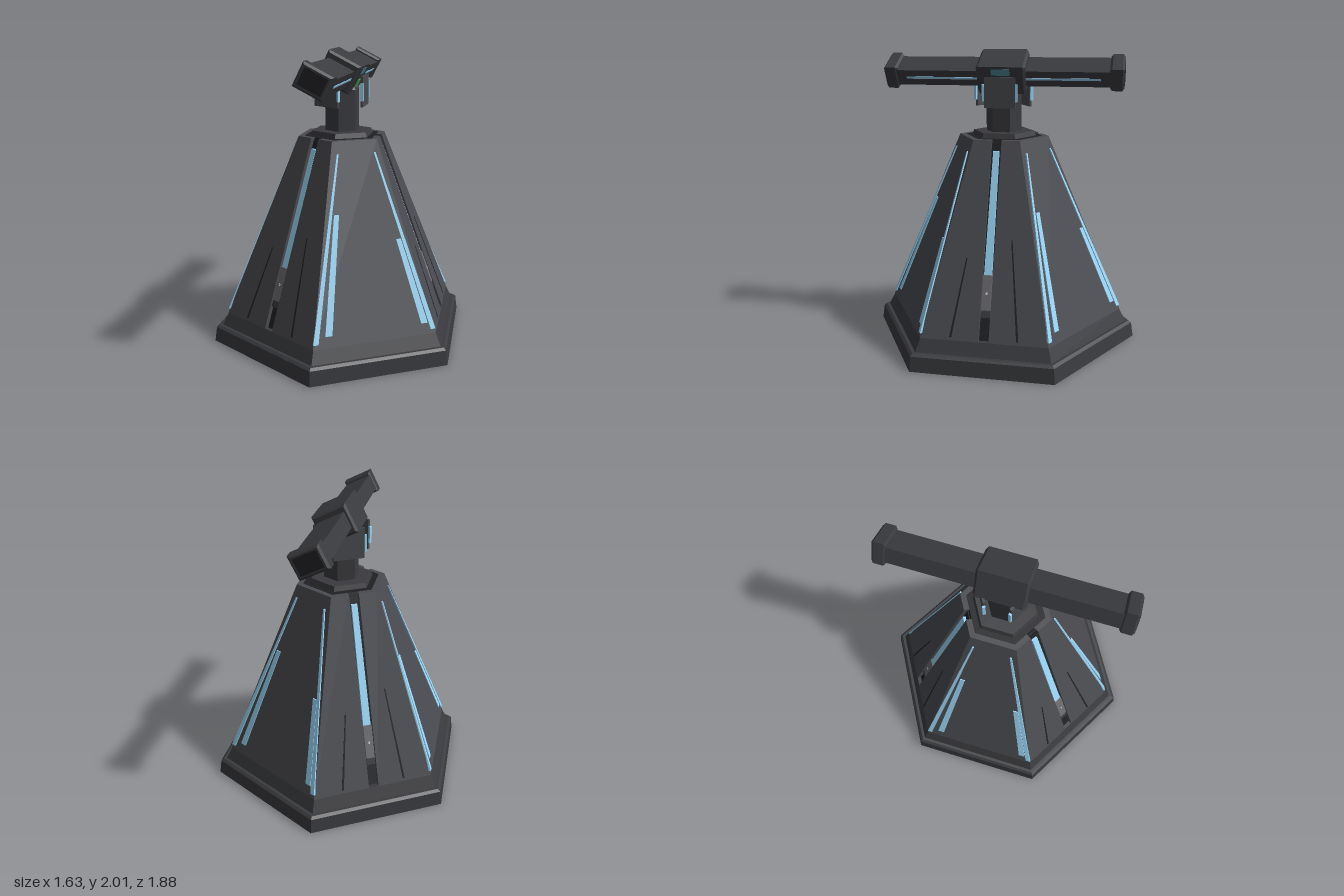
import * as THREE from 'three';

const paint = (color) => new THREE.MeshStandardMaterial({ color, flatShading: true });
const DARK = paint(0x3a3b3f), BODY = paint(0x4a4b50), BLACK = paint(0x202124), GREY = paint(0x6a6b70);
const BLUE = paint(0x9ad6f8), TEAL = paint(0x4f8a9a), GREEN = paint(0x4fae5c), WHITE = paint(0xdddddd);

const LOW = 0.2, HIGH = 1.43;
// distance from the axis to a sloping wall at height y, and half the wall's width there
const wall = (y) => 0.727 - ((y - LOW) * 0.457) / (HIGH - LOW);
const half = (y) => wall(y) / Math.sqrt(3);

function add(parent, name, geometry, material, x = 0, y = 0, z = 0) {
  const mesh = new THREE.Mesh(geometry, material);
  mesh.name = name;
  mesh.position.set(x, y, z);
  parent.add(mesh);
  return mesh;
}

// six-sided drum with corners on the z axis
function hex(parent, name, rBottom, rTop, y0, y1, material) {
  return add(parent, name, new THREE.CylinderGeometry(rTop, rBottom, y1 - y0, 6), material, 0, (y0 + y1) / 2, 0);
}

// flat outline [t, y] laid on the sloping wall facing +x; t runs to the viewer's right
function slab(parent, name, outline, from, to, material) {
  const shape = new THREE.Shape(outline.map(([t, y]) => new THREE.Vector2(t, y)));
  const geometry = new THREE.ExtrudeGeometry(shape, { depth: to - from, bevelEnabled: false });
  const p = geometry.attributes.position;
  for (let i = 0; i < p.count; i++) {
    p.setXYZ(i, wall(p.getY(i)) + from + p.getZ(i), p.getY(i), -p.getX(i));
  }
  geometry.computeVertexNormals();
  return add(parent, name, geometry, material);
}

// tapering strip from (t0, y0) at the bottom to (t1, y1) at the top
function strip(parent, name, t0, y0, w0, t1, y1, w1, from, to, material) {
  const outline = [[t0 - w0 / 2, y0], [t0 + w0 / 2, y0], [t1 + w1 / 2, y1], [t1 - w1 / 2, y1]];
  return slab(parent, name, outline, from, to, material);
}

// box with chamfered edges, long axis on z
function chamferBox(parent, name, w, h, d, c, material, z = 0) {
  const x = w / 2 - c, y = h / 2 - c;
  const shape = new THREE.Shape([[-x, -y], [x, -y], [x, y], [-x, y]].map((q) => new THREE.Vector2(...q)));
  const geometry = new THREE.ExtrudeGeometry(shape, {
    depth: d - 2 * c, bevelEnabled: true, bevelSize: c, bevelThickness: c, bevelSegments: 1,
  });
  geometry.translate(0, 0, c - d / 2);
  return add(parent, name, geometry, material, 0, 0, z);
}

function plainWall() {
  const g = new THREE.Group();
  g.name = 'plainWall';
  slab(g, 'wallPanel', [[-half(LOW), LOW], [half(LOW), LOW], [half(HIGH), HIGH], [-half(HIGH), HIGH]], -0.04, 0, BODY);
  // broad lights inside the edges, the left one longer
  strip(g, 'longLight', -0.31, 0.27, 0.046, -0.178, 0.98, 0.034, -0.01, 0.006, BLUE);
  strip(g, 'shortLight', 0.345, 0.27, 0.046, 0.229, 0.8, 0.034, -0.01, 0.006, BLUE);
  // tapering lights along the corners
  for (const s of [-1, 1]) {
    strip(g, 'cornerLight', s * 0.4, 0.23, 0.034, s * 0.128, 1.35, 0.012, -0.02, 0.009, BLUE);
  }
  return g;
}

function slottedWall() {
  const g = new THREE.Group();
  g.name = 'slottedWall';
  const gap = 0.034;
  for (const s of [-1, 1]) {
    const outline = [[s * gap, LOW], [s * half(LOW), LOW], [s * half(HIGH), HIGH], [s * gap, HIGH]];
    slab(g, 'wallPanel', outline, -0.04, 0, BODY);
    strip(g, 'thinGroove', s * 0.218, 0.22, 0.014, s * 0.144, s > 0 ? 0.82 : 0.7, 0.008, -0.01, 0.002, BLACK);
  }
  // slot floor, light bar and control box
  strip(g, 'slotFloor', 0, LOW, 2 * gap, 0, 1.41, 2 * gap, -0.04, -0.03, BLACK);
  strip(g, 'slotLight', 0, 0.6, 0.052, 0, 1.36, 0.04, -0.035, -0.012, BLUE);
  strip(g, 'controlBox', 0, 0.39, 0.06, 0, 0.6, 0.06, -0.035, -0.004, GREY);
  strip(g, 'controlBoxFoot', 0, 0.345, 0.06, 0, 0.385, 0.06, -0.035, -0.008, DARK);
  strip(g, 'controlButton', 0, 0.485, 0.01, 0, 0.497, 0.01, -0.01, 0.0, WHITE);
  return g;
}

// upright plate beside the post with a light on each edge
function sidePlate() {
  const g = new THREE.Group();
  g.name = 'sidePlate';
  add(g, 'plate', new THREE.BoxGeometry(0.016, 0.205, 0.212), BODY, 0.155, 1.732, 0);
  for (const s of [-1, 1]) {
    add(g, 'plateLight', new THREE.BoxGeometry(0.02, 0.115, 0.014), BLUE, 0.16, 1.73, s * 0.112);
  }
  return g;
}

function makeHead() {
  const g = new THREE.Group();
  g.name = 'head';
  chamferBox(g, 'headBlock', 0.245, 0.205, 0.33, 0.015, DARK);
  chamferBox(g, 'crossBeam', 0.192, 0.112, 1.5, 0.008, DARK);
  add(g, 'beamLight', new THREE.BoxGeometry(0.008, 0.016, 1.32), BLUE, 0.095, 0, 0);
  for (const s of [-1, 1]) {
    chamferBox(g, 'beamEnd', 0.205, 0.16, 0.095, 0.014, DARK, s * 0.767);
    add(g, 'beamEndFace', new THREE.BoxGeometry(0.155, 0.11, 0.004), BLACK, 0, 0, s * 0.8145);
  }
  add(g, 'screen', new THREE.BoxGeometry(0.006, 0.046, 0.125), TEAL, 0.122, 0.062, 0);
  add(g, 'indicator', new THREE.BoxGeometry(0.016, 0.06, 0.07), GREEN, 0.122, -0.03, 0);
  g.position.set(0.008, 1.864, 0);
  g.rotation.z = -0.47;
  return g;
}

export function createModel() {
  const model = new THREE.Group();
  model.name = 'pylon';

  // stepped foot
  hex(model, 'footPlate', 0.94, 0.925, 0, 0.1, DARK);
  hex(model, 'footChamfer', 0.925, 0.905, 0.1, 0.115, DARK);
  hex(model, 'skirt', 0.885, 0.836, 0.11, LOW, DARK);

  // tapered body
  hex(model, 'core', 0.797, 0.27, LOW, HIGH, BLACK);
  for (let i = 0; i < 3; i++) {
    const turn = (i * 2 * Math.PI) / 3;
    const slotted = slottedWall(), plain = plainWall(), plate = sidePlate();
    slotted.rotation.y = plate.rotation.y = turn;
    plain.rotation.y = turn + Math.PI / 3;
    model.add(slotted, plain, plate);
  }

  // collar and post
  hex(model, 'collar', 0.225, 0.212, HIGH, 1.462, DARK);
  hex(model, 'post', 0.122, 0.122, 1.46, 1.74, DARK);
  hex(model, 'postTop', 0.122, 0.11, 1.74, 1.76, DARK);

  model.add(makeHead());
  return model;
}
